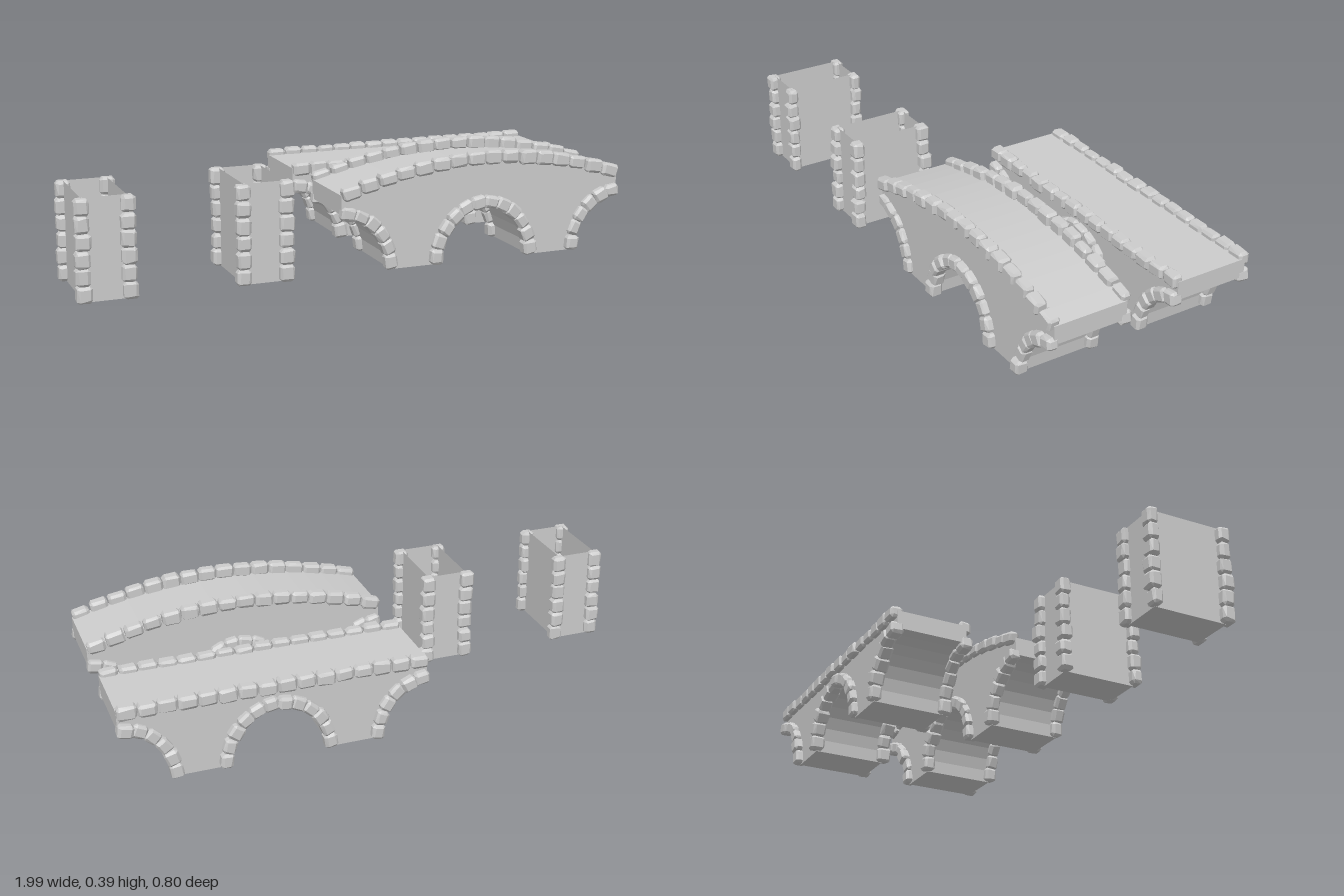
import * as THREE from 'three';
import { ConvexGeometry } from 'three/addons/geometries/ConvexGeometry.js';
import { mergeGeometries } from 'three/addons/utils/BufferGeometryUtils.js';

const X0 = -0.085, X1 = 0.99, MID = (X0 + X1) / 2, HALF = (X1 - X0) / 2;
const ARCH_W = 0.185, ARCH_H = 0.208, DECK_Y = 0.275;

export function createModel() {
  const model = new THREE.Group();
  const stoneMat = new THREE.MeshStandardMaterial({ color: 0xcccccc, flatShading: true });
  const wallMat = new THREE.MeshStandardMaterial({ color: 0xcccccc, flatShading: true, side: THREE.DoubleSide });

  let seed = 7;
  const rand = () => (seed = (seed * 16807) % 2147483647) / 2147483647;
  const vary = (amount) => (rand() * 2 - 1) * amount;

  // Irregular stone block with chamfered edges
  function stone(w, h, d, x, y, z, angle = 0) {
    const points = [];
    const c = 0.009;
    const half = [w / 2 + vary(0.001), h / 2 + vary(0.002), d / 2 + vary(0.003)];
    for (const sx of [-1, 1]) for (const sy of [-1, 1]) for (const sz of [-1, 1]) {
      for (let axis = 0; axis < 3; axis++) {
        const p = half.map((s, i) => s - (i === axis ? 0 : c + vary(0.003)));
        points.push(new THREE.Vector3(sx * p[0], sy * p[1], sz * p[2]));
      }
    }
    return new ConvexGeometry(points).rotateZ(angle + vary(0.03)).translate(x, y, z);
  }

  function addMesh(parent, geometry, name, material) {
    const mesh = new THREE.Mesh(geometry, material);
    mesh.name = name;
    parent.add(mesh);
  }

  // Bridge with one full arch, a half arch at each end and an optional humped deck
  function addBridge(name, zCentre, deckRise, stoneRise) {
    const bridge = new THREE.Group();
    bridge.name = name;
    bridge.position.z = zCentre;
    const hump = (x) => 1 - ((x - MID) / HALF) ** 2;

    const outline = [];
    const deckSteps = 16, archSteps = 7;
    for (let i = 0; i <= deckSteps; i++) {
      const x = X0 + (2 * HALF * i) / deckSteps;
      outline.push(new THREE.Vector2(x, DECK_Y + deckRise * hump(x)));
    }
    const arc = (cx, from, to) => {
      const n = Math.round((Math.abs(to - from) / (Math.PI / 2)) * archSteps);
      for (let i = 0; i <= n; i++) {
        const t = from + ((to - from) * i) / n;
        outline.push(new THREE.Vector2(cx + ARCH_W * Math.cos(t), ARCH_H * Math.sin(t)));
      }
    };
    arc(X1, Math.PI / 2, Math.PI);
    arc(MID, 0, Math.PI);
    arc(X0, 0, Math.PI / 2);
    const body = new THREE.ExtrudeGeometry(new THREE.Shape(outline), { depth: 0.27, bevelEnabled: false });
    addMesh(bridge, body.translate(0, 0, -0.135), 'bridgeBody', stoneMat);

    for (const side of [-1, 1]) {
      const label = side > 0 ? 'front' : 'back';
      const z = side * 0.135;

      // Row of kerb stones following the deck
      const kerb = [];
      const count = 16, pitch = (2 * HALF) / count;
      for (let i = 0; i < count; i++) {
        const x = X0 + pitch * (i + 0.5);
        const slope = (-2 * stoneRise * (x - MID)) / HALF ** 2;
        kerb.push(stone(pitch - 0.003, 0.047, 0.042, x, 0.272 + stoneRise * hump(x),
          z + vary(0.003), Math.atan(slope) * 0.7));
      }
      addMesh(bridge, mergeGeometries(kerb), label + 'KerbStones', stoneMat);

      // Stones lining the arches
      const ring = [];
      for (const [cx, first, last] of [[X0, 0, 6], [MID, 0, 12], [X1, 6, 12]]) {
        for (let i = first; i < last; i++) {
          const t = ((i + 0.5) / 12) * Math.PI;
          const angle = Math.atan2(ARCH_H * Math.cos(t), -ARCH_W * Math.sin(t));
          ring.push(stone(0.054, 0.047, 0.047, cx + ARCH_W * Math.cos(t), ARCH_H * Math.sin(t) + 0.002,
            z + vary(0.005), angle));
        }
      }
      addMesh(bridge, mergeGeometries(ring), label + 'ArchStones', stoneMat);
    }
    model.add(bridge);
  }

  // Open-topped pier with stacked stones at the corners
  function addPier(name, x) {
    const pier = new THREE.Group();
    pier.name = name;
    pier.position.set(x, 0, 0.231);
    const w = 0.148, h = 0.345, d = 0.27;
    const walls = new THREE.BoxGeometry(w, h, d).translate(0, h / 2, 0);
    const index = Array.from(walls.index.array);
    index.splice(12, 6); // remove the top face
    walls.setIndex(index);
    walls.clearGroups();
    addMesh(pier, walls, 'pierWalls', wallMat);

    const rows = 6, rowH = h / rows;
    for (const sx of [-1, 1]) for (const sz of [-1, 1]) {
      const column = [];
      for (let i = 0; i < rows; i++) {
        column.push(stone(0.05, rowH - 0.002, 0.043, sx * 0.076 + vary(0.003), rowH * (i + 0.5),
          sz * 0.137 + vary(0.004)));
      }
      const label = (sz > 0 ? 'front' : 'back') + (sx > 0 ? 'Left' : 'Right');
      addMesh(pier, mergeGeometries(column), label + 'CornerStones', stoneMat);
    }
    model.add(pier);
  }

  addBridge('archedBridge', 0.235, 0.075, 0.095);
  addBridge('flatBridge', -0.235, 0, 0);
  addPier('outerPier', -0.896);
  addPier('innerPier', -0.357);
  return model;
}
